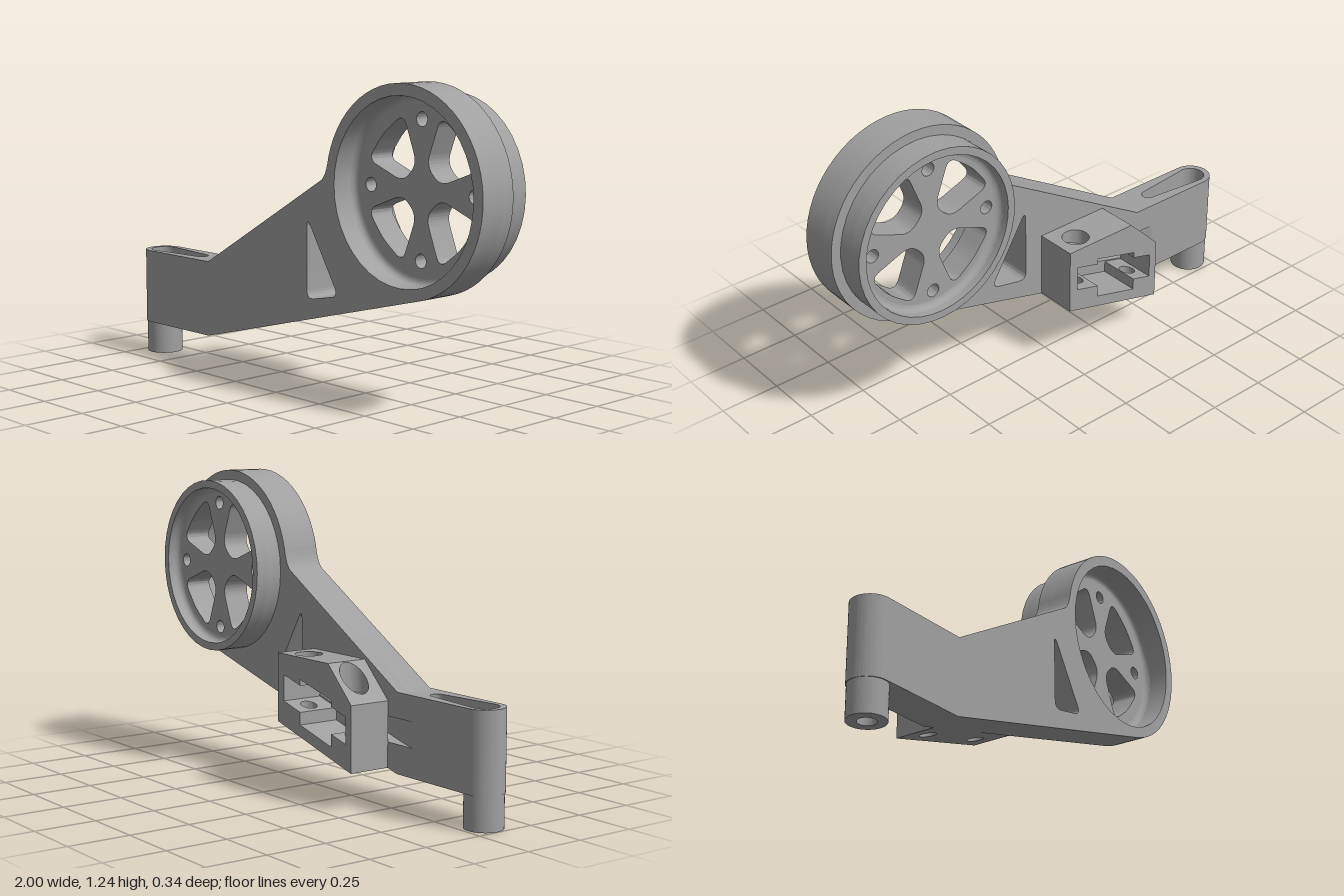
import * as THREE from 'three';
import { toCreasedNormals } from 'three/addons/utils/BufferGeometryUtils.js';

const HUB = { x: 0.6, y: 0.84 };
const SLOPE = 0.264; // underside of the arm
const BACK = 0.008, FLOOR = 0.06, FRONT = 0.168;

const grey = new THREE.MeshStandardMaterial({ color: 0xa0a0a0, side: THREE.DoubleSide });
grey.name = 'machined grey';

// Closed outline with every corner rounded by about r
function rounded(points, r, target = new THREE.Path()) {
  const v = points.map(([x, y]) => new THREE.Vector2(x, y));
  v.forEach((p, i) => {
    const toward = (q) => {
      const d = q.clone().sub(p);
      return p.clone().add(d.setLength(Math.min(r, d.length() * 0.45)));
    };
    const a = toward(v[(i + v.length - 1) % v.length]);
    const b = toward(v[(i + 1) % v.length]);
    if (i === 0) target.moveTo(a.x, a.y);
    else target.lineTo(a.x, a.y);
    target.quadraticCurveTo(p.x, p.y, b.x, b.y);
  });
  target.closePath();
  return target;
}

const circle = (x, y, r, target = new THREE.Path()) => target.absarc(x, y, r, 0, Math.PI * 2, false);

function polygon(points) {
  return new THREE.Shape(points.map(([x, y]) => new THREE.Vector2(x, y)));
}

const rect = (x0, x1, y0, y1) => polygon([[x0, y0], [x1, y0], [x1, y1], [x0, y1]]);

function withHoles(shape, holes) {
  shape.holes.push(...holes);
  return shape;
}

function extrude(shape, depth) {
  return new THREE.ExtrudeGeometry(shape, { depth, bevelEnabled: false, curveSegments: 20 });
}

// Slab between two z levels, outline in x and y
const slabZ = (shape, z0, z1) => extrude(shape, z1 - z0).translate(0, 0, z0);
// Slab between two heights, outline in x and z
const slabY = (shape, y0, y1) => extrude(shape, y1 - y0).rotateX(Math.PI / 2).translate(0, y1, 0);

function add(group, name, geometry) {
  const mesh = new THREE.Mesh(toCreasedNormals(geometry, 0.6), grey);
  mesh.name = name;
  group.add(mesh);
}

// Side outline of the arm, running round the wheel housing
function armOutline() {
  const s = new THREE.Shape();
  s.moveTo(-0.62, 0.135);
  s.lineTo(-0.52, 0.135);
  s.lineTo(0.702, 0.453);
  s.absarc(HUB.x, HUB.y, 0.4, -1.313, Math.PI - 0.253, false);
  s.quadraticCurveTo(0.2, 0.868, 0.17, 0.849);
  s.lineTo(-0.52, 0.45);
  s.lineTo(-0.62, 0.45);
  s.closePath();
  return s;
}

const armWindow = () => rounded([[0.092, 0.7], [0.268, 0.41], [0.092, 0.375]], 0.04);

// Four spoke windows and four bolt holes in the wheel plate
function plateHoles() {
  const holes = [];
  const kite = [[0.025, 0.095], [0.095, 0.278], [0.2, 0.2], [0.278, 0.095], [0.095, 0.025]];
  for (let i = 0; i < 4; i++) {
    const a = (i * Math.PI) / 2, c = Math.cos(a), s = Math.sin(a);
    holes.push(rounded(kite.map(([x, y]) => [HUB.x + x * c - y * s, HUB.y + x * s + y * c]), 0.045));
    holes.push(circle(HUB.x + 0.264 * c, HUB.y + 0.264 * s, 0.027));
  }
  return holes;
}

function buildArm(g) {
  add(g, 'armFront', slabZ(withHoles(armOutline(),
    [circle(HUB.x, HUB.y, 0.355), armWindow()]), FLOOR, FRONT));
  const groove = new THREE.Path(polygon([[-0.61, 0.25], [-0.47, 0.25], [-0.03, 0.37],
    [-0.03, 0.46], [-0.47, 0.35], [-0.61, 0.35]]).getPoints());
  add(g, 'armBack', slabZ(withHoles(armOutline(), [armWindow(), groove, ...plateHoles()]), BACK, FLOOR));

  // Ramp at the shallow end of the cable groove
  const ramp = polygon([[-0.61, BACK], [-0.47, FLOOR], [-0.61, FLOOR]]);
  add(g, 'grooveRamp', slabY(ramp, 0.25, 0.35));
}

function buildWheel(g) {
  const disc = circle(HUB.x, HUB.y, 0.36, new THREE.Shape());
  add(g, 'wheelPlate', slabZ(withHoles(disc, plateHoles()), -0.053, BACK));
  const rim = circle(HUB.x, HUB.y, 0.36, new THREE.Shape());
  add(g, 'rearRim', slabZ(withHoles(rim, [circle(HUB.x, HUB.y, 0.328)]), -0.107, -0.053));

  // Fillets where the recess walls meet the plate
  for (const [name, r, z, dir] of [['frontFillet', 0.355, FLOOR, 1], ['rearFillet', 0.328, -0.053, -1]]) {
    const pts = [];
    for (let i = 0; i <= 5; i++) {
      const a = (i / 5) * Math.PI / 2;
      pts.push(new THREE.Vector2(r - 0.025 * (1 - Math.sin(a)), dir * 0.025 * (1 - Math.cos(a))));
    }
    add(g, name, new THREE.LatheGeometry(pts, 48).rotateX(Math.PI / 2).translate(HUB.x, HUB.y, z));
  }
}

// Rounded end with a teardrop pocket, and the hollow peg below it
function buildEnd(g) {
  const cx = -0.92, cz = 0.088;
  const outline = () => {
    const s = new THREE.Shape();
    s.moveTo(-0.62, BACK);
    s.lineTo(-0.62, FRONT);
    s.absarc(cx, cz, 0.08, Math.PI / 2, Math.PI * 1.5, false);
    s.closePath();
    return s;
  };
  const phi = Math.acos((0.055 - 0.028) / 0.26);
  const drop = new THREE.Path();
  drop.absarc(cx, cz, 0.055, phi, Math.PI * 2 - phi, false);
  drop.absarc(cx + 0.26, cz, 0.028, -phi, phi, false);
  drop.closePath();
  add(g, 'endPocket', slabY(withHoles(outline(), [drop]), 0.2, 0.45));
  add(g, 'endBase', slabY(withHoles(outline(), [circle(cx, cz, 0.033)]), 0.135, 0.2));
  const peg = circle(cx - 0.003, cz, 0.075, new THREE.Shape());
  add(g, 'peg', slabY(withHoles(peg, [circle(cx, cz, 0.036)]), 0, 0.135));
}

// Clamp block behind the arm, stacked from layers that follow the arm's slope
function buildClamp(g) {
  const X0 = -0.465, X1 = 0.01, Z0 = -0.168, ZC = -0.088;
  const bolts = [-0.378, -0.088];
  const layer = (name, x0, x1, y0, y1, holeRadius, capTop) => {
    const holes = holeRadius
      ? bolts.filter((b) => b > x0 && b < x1).map((b) => circle(b, ZC, holeRadius)) : [];
    const geo = slabY(withHoles(rect(x0, x1, Z0, BACK), holes), y0, y1);
    const p = geo.attributes.position;
    for (let i = 0; i < p.count; i++) {
      const x = p.getX(i), y = p.getY(i);
      const top = capTop && y > (y0 + y1) / 2;
      // The cap is level, then slopes down beyond its break line
      p.setY(i, top ? Math.min(0.55, 0.55 + 0.97 * (x + 0.32)) : y + SLOPE * x);
    }
    geo.computeVertexNormals();
    add(g, name, geo);
  };
  layer('clampBase', X0, X1, 0.272, 0.32, 0.033);
  for (const [y0, y1] of [[0.32, 0.37], [0.475, 0.5]]) {
    layer('clampShoulder', X0, -0.34, y0, y1, 0.033);
    layer('clampShoulder', -0.14, X1, y0, y1, 0.033);
  }
  layer('clampWall', X0, -0.43, 0.37, 0.475);
  layer('clampWall', -0.03, X1, 0.37, 0.475);
  layer('clampBoltSeat', X0, X1, 0.5, 0.52, 0.033);
  layer('clampCapSloped', X0, -0.32, 0.52, 0.55, 0.055, true);
  layer('clampCap', -0.32, X1, 0.52, 0.55, 0.055, true);
}

export function createModel() {
  const model = new THREE.Group();
  model.name = 'wheelArm';
  for (const [name, build] of [['arm', buildArm], ['wheel', buildWheel], ['end', buildEnd], ['clamp', buildClamp]]) {
    const group = new THREE.Group();
    group.name = name;
    build(group);
    model.add(group);
  }
  return model;
}
